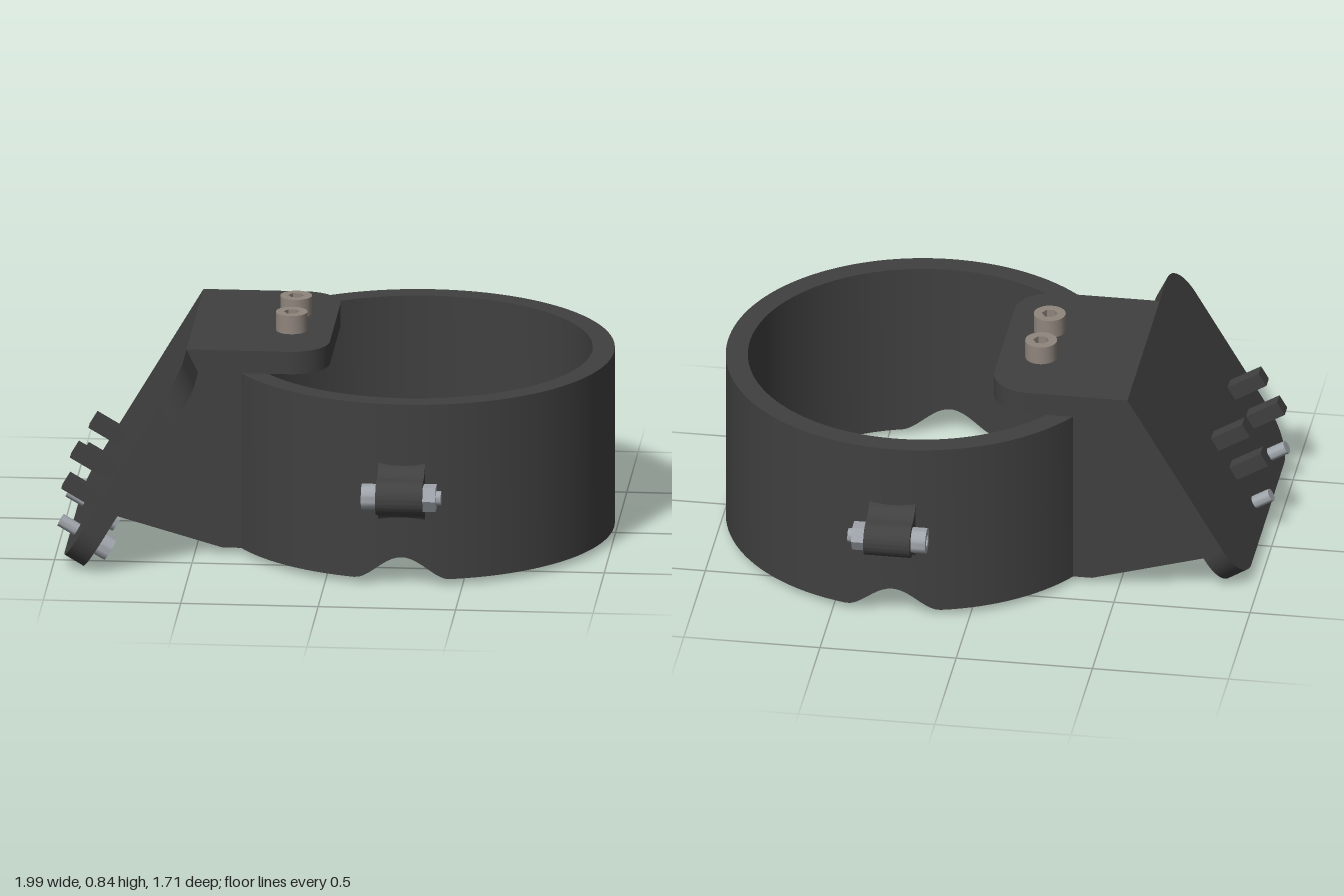
import * as THREE from 'three';
import { toCreasedNormals } from 'three/addons/utils/BufferGeometryUtils.js';

const material = (name, color) => {
  const m = new THREE.MeshStandardMaterial({ color });
  m.name = name;
  return m;
};

// Move every vertex of a geometry by a rule
function deform(geo, rule) {
  const p = geo.attributes.position;
  const v = new THREE.Vector3();
  for (let i = 0; i < p.count; i++) {
    rule(v.fromBufferAttribute(p, i));
    p.setXYZ(i, v.x, v.y, v.z);
  }
  geo.computeVertexNormals();
  return geo;
}

// Rectangle with one radius per corner: bottom left, bottom right, top right, top left
function roundedRect(x0, y0, x1, y1, [bl, br, tr, tl]) {
  const s = new THREE.Shape();
  const q = Math.PI / 2;
  const corner = (x, y, r, start) =>
    r ? s.absarc(x, y, r, start, start + q, false) : s.lineTo(x, y);
  s.moveTo(x0 + bl, y0);
  corner(x1 - br, y0 + br, br, -q);
  corner(x1 - tr, y1 - tr, tr, 0);
  corner(x0 + tl, y1 - tl, tl, q);
  corner(x0 + bl, y0 + bl, bl, 2 * q);
  return s;
}

const extrude = (shape, depth, steps = 1) =>
  new THREE.ExtrudeGeometry(shape, { depth, steps, bevelEnabled: false, curveSegments: 16 });

export function createModel() {
  const dark = material('darkPlastic', 0x404040);
  const steel = material('brightSteel', 0x9fa4aa);
  const bronze = material('warmGreyMetal', 0x8f857d);
  const model = new THREE.Group();

  function add(parent, name, geo, mat, x = 0, y = 0, z = 0) {
    const mesh = new THREE.Mesh(toCreasedNormals(geo, 0.6), mat);
    mesh.name = name;
    mesh.position.set(x, y, z);
    parent.add(mesh);
    return mesh;
  }

  // Cap screw head along +y with a hexagonal socket
  function socketHead(parent, name, r, h, mat, x, y, z) {
    const g = new THREE.Group();
    g.name = name;
    g.position.set(x, y, z);
    const rim = new THREE.Shape().absarc(0, 0, r, 0, Math.PI * 2, false);
    const hex = [];
    for (let i = 0; i < 6; i++) {
      const a = -i * Math.PI / 3;
      hex.push(new THREE.Vector2(Math.cos(a) * r * 0.5, Math.sin(a) * r * 0.5));
    }
    rim.holes.push(new THREE.Path(hex));
    add(g, 'headRim', extrude(rim, h).rotateX(-Math.PI / 2), mat);
    add(g, 'socketFloor', new THREE.CylinderGeometry(r * 0.8, r * 0.8, h * 0.4, 24), mat, 0, h * 0.21, 0);
    parent.add(g);
    return g;
  }

  // Clamp ring with arched notches at the bottom, front and back
  const ringX = 0.28, outer = 0.715, inner = 0.635, low = 0.031, high = 0.695;
  const profile = [[inner, low], [outer, low], [outer, high], [inner, high], [inner, low]]
    .map(([x, y]) => new THREE.Vector2(x, y));
  const ring = deform(new THREE.LatheGeometry(profile, 256), (v) => {
    if (v.y < 0.1 && Math.abs(v.x) < 0.17)
      v.y += 0.085 * Math.pow(0.5 + 0.5 * Math.cos(Math.PI * v.x / 0.17), 0.85);
  });
  add(model, 'clampRing', ring, dark, ringX);

  // Wedge body, its inner end curved to sit within the ring wall
  const wedge = new THREE.Shape([
    [-0.5, 0.74], [-0.84, 0.157], [-0.4, 0.032], [0, 0.032], [0, 0.74],
  ].map(([x, y]) => new THREE.Vector2(x, y)));
  const body = deform(extrude(wedge, 0.748, 24).translate(0, 0, -0.374), (v) => {
    if (v.x > -0.1) {
      v.x = ringX - Math.sqrt(0.675 ** 2 - v.z ** 2);
      if (v.y > 0.5) v.y = 0.71;
    }
  });
  add(model, 'wedgeBody', body, dark);

  // Top plate resting on the ring
  const topShape = roundedRect(-0.53, -0.375, -0.02, 0.375, [0, 0.14, 0.14, 0]);
  add(model, 'topPlate', extrude(topShape, 0.085).rotateX(-Math.PI / 2), dark, 0, 0.695, 0);
  for (const z of [-0.1, 0.1])
    socketHead(model, 'topScrew', 0.058, 0.07, bronze, -0.17, 0.779, z);

  // Sloped plate group: local y runs up the slope, local z points inward
  const slope = new THREE.Group();
  slope.name = 'slopedMount';
  slope.applyMatrix4(new THREE.Matrix4().makeBasis(
    new THREE.Vector3(0, 0, -1),
    new THREE.Vector3(0.508, 0.8614, 0),
    new THREE.Vector3(0.8614, -0.508, 0),
  ).setPosition(-0.53, 0.78, 0));
  model.add(slope);
  const slopeShape = roundedRect(-0.7, -0.847, 0.375, 0, [0.16, 0.16, 0, 0.16]);
  const slopePlate = deform(extrude(slopeShape, 0.08), (v) => {
    if (v.z > 0.01) v.y -= 0.053 * (1 + v.y / 0.847); // mitred upper edge
  });
  add(slope, 'slopedPlate', slopePlate, dark);

  // Pegs and through bolts on the sloped plate
  for (const z of [0.12, 0.505])
    for (const y of [-0.487, -0.62])
      add(slope, 'peg', new THREE.BoxGeometry(0.056, 0.056, 0.145), dark, -z, y, -0.06);
  for (const z of [0.12, 0.48]) {
    const shaft = new THREE.CylinderGeometry(0.024, 0.024, 0.16, 20).rotateX(Math.PI / 2);
    add(slope, 'plateBoltShaft', shaft, steel, -z, -0.767, 0.01);
    socketHead(slope, 'plateBoltHead', 0.045, 0.062, steel, -z, -0.767, 0.079).rotation.x = Math.PI / 2;
  }

  // Clamp lugs with bolt and nut, front and back
  for (const side of [1, -1]) {
    const lug = new THREE.Group();
    lug.name = side > 0 ? 'frontLug' : 'backLug';
    lug.position.set(ringX, 0.365, 0);
    model.add(lug);
    const s = new THREE.Shape();
    s.moveTo(0.69, -0.12);
    s.lineTo(0.705, -0.12);
    s.quadraticCurveTo(0.722, -0.064, 0.79, -0.064);
    s.absarc(0.79, 0, 0.064, -Math.PI / 2, Math.PI / 2, false);
    s.quadraticCurveTo(0.722, 0.064, 0.705, 0.12);
    s.lineTo(0.69, 0.12);
    const block = extrude(s, 0.17).translate(0, 0, -0.085).rotateY(-side * Math.PI / 2);
    add(lug, 'lugBlock', block, dark);
    const z = side * 0.785;
    socketHead(lug, 'clampBoltHead', 0.047, 0.055, steel, -0.084, 0, z).rotation.z = Math.PI / 2;
    add(lug, 'clampNut', new THREE.CylinderGeometry(0.052, 0.052, 0.048, 6).rotateZ(Math.PI / 2), steel, 0.108, 0, z);
    add(lug, 'clampBoltTip', new THREE.CylinderGeometry(0.026, 0.026, 0.03, 20).rotateZ(Math.PI / 2), steel, 0.135, 0, z);
  }
  return model;
}
